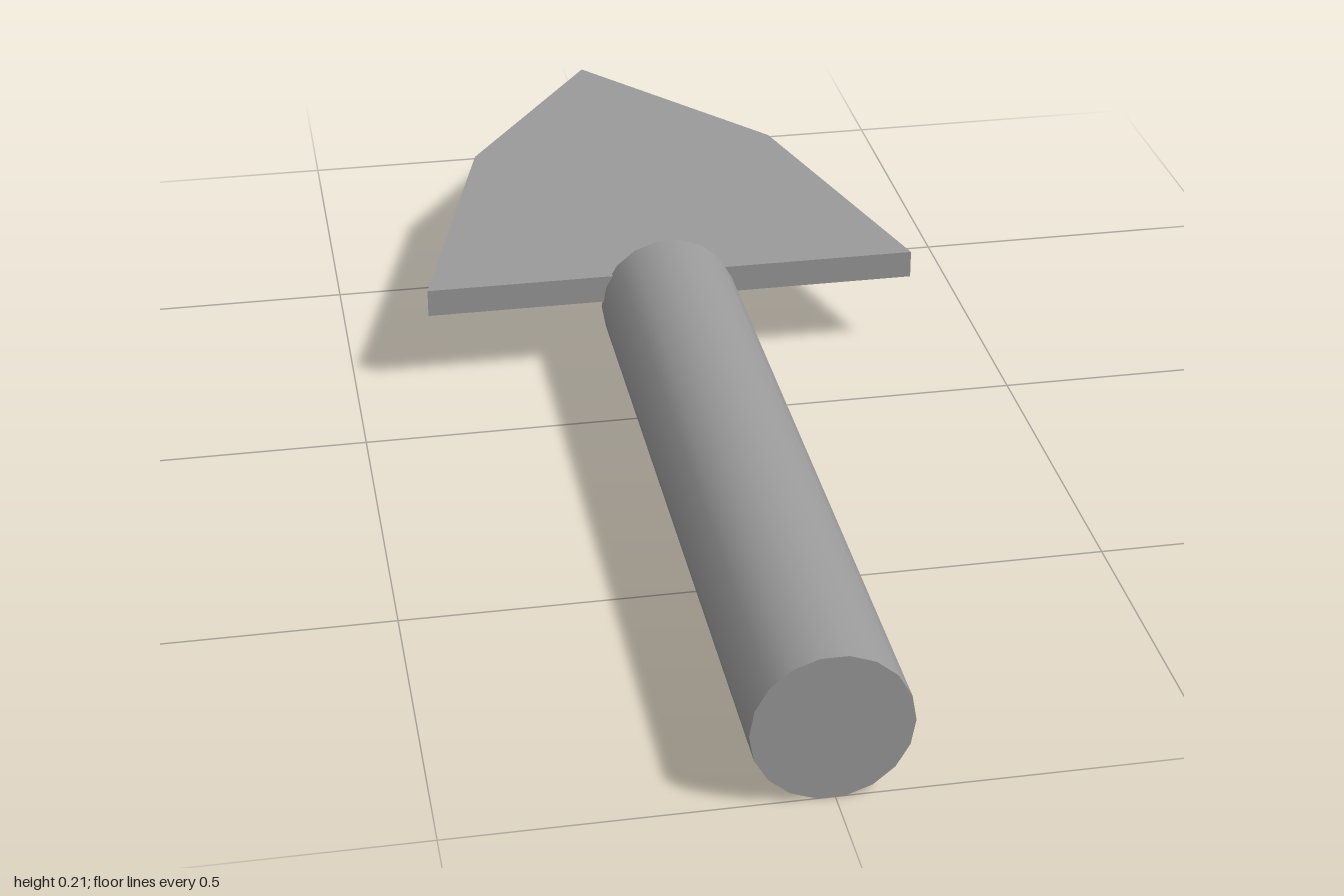
import * as THREE from 'three';
import { toCreasedNormals } from 'three/addons/utils/BufferGeometryUtils.js';

const material = new THREE.MeshStandardMaterial({ color: 0x9a9a9a });

// Round handle lying along z, with corners of its 18 sides at left and right
function makeHandle() {
  const front = 1, back = -0.18, radius = 0.106;
  const geometry = new THREE.CylinderGeometry(radius, radius, front - back, 18, 1, false, Math.PI / 2);
  geometry.rotateX(Math.PI / 2);
  const handle = new THREE.Mesh(geometry, material);
  handle.name = 'handle';
  handle.position.set(-0.005, 0.105, (front + back) / 2);
  return handle;
}

// Flat pointed blade: outline drawn as (x, -z), then laid down; its shoulders shade smoothly
function makeBlade() {
  const outline = [[-0.383, 0.172], [0.383, 0.172], [0.252, 0.657], [-0.019, 1], [-0.252, 0.657]];
  const shape = new THREE.Shape(outline.map(([x, y]) => new THREE.Vector2(x, y)));
  const geometry = new THREE.ExtrudeGeometry(shape, { depth: 0.043, bevelEnabled: false });
  geometry.rotateX(-Math.PI / 2);
  const blade = new THREE.Mesh(toCreasedNormals(geometry, Math.PI / 6), material);
  blade.name = 'blade';
  blade.position.y = 0.117;
  return blade;
}

export function createModel() {
  const trowel = new THREE.Group();
  trowel.name = 'trowel';
  trowel.add(makeHandle(), makeBlade());
  return trowel;
}
